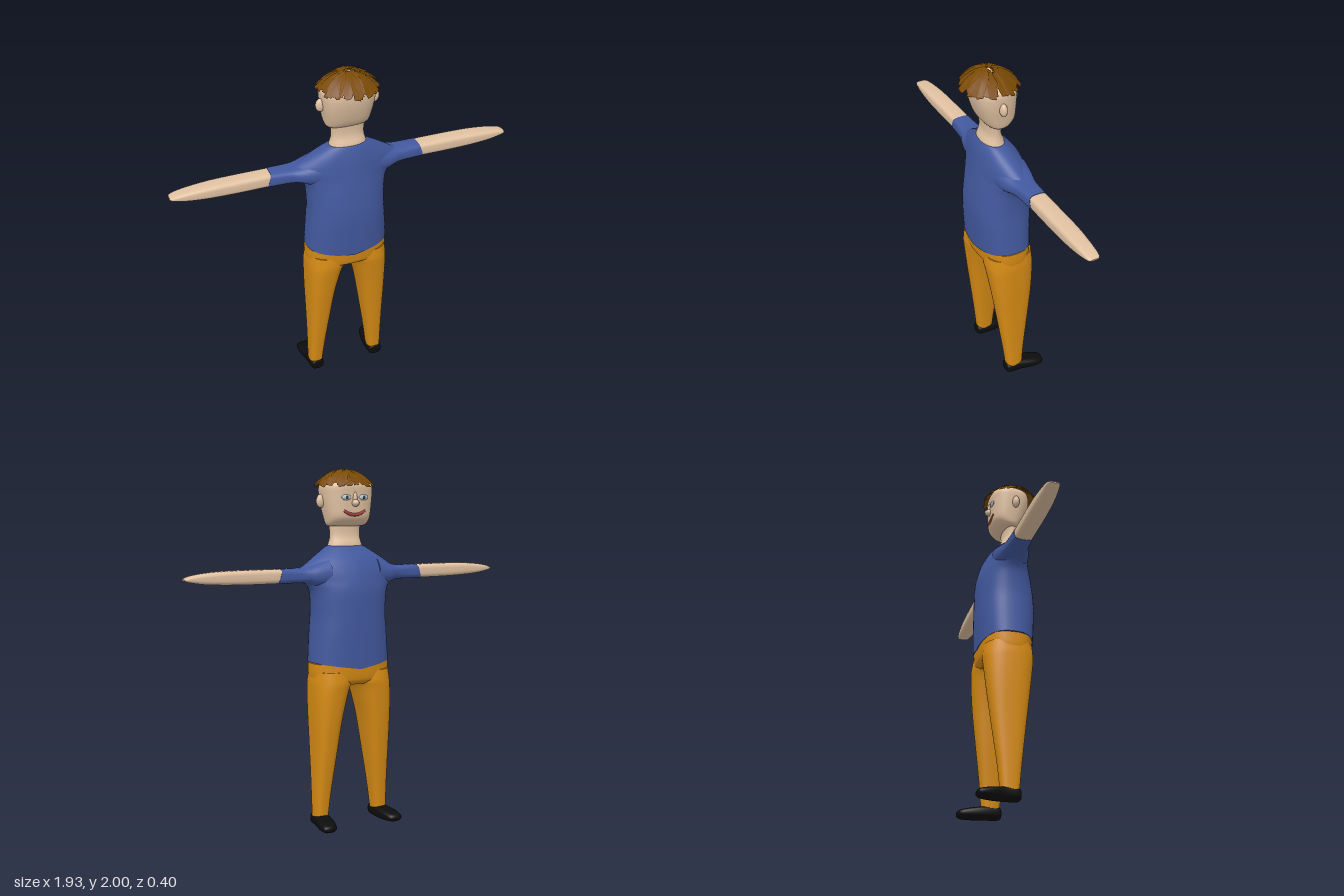
import * as THREE from 'three';

const mat = (color, side = THREE.FrontSide) => new THREE.MeshStandardMaterial({ color, side, roughness: 0.9 });
const SKIN = mat(0xe0c1a1), SHIRT = mat(0x43599f), TROUSERS = mat(0xd68b15), SHOE = mat(0x0d0d0d);
const HAIR = mat(0x7a4a05, THREE.DoubleSide), EYE = mat(0xb9cbd2), PUPIL = mat(0x2b3a44), LIP = mat(0xa8433f);

// Smooth Catmull-Rom refinement of a list of cross-sections
function refine(rows, steps) {
  const out = [];
  for (let i = 0; i < rows.length - 1; i++) {
    const p = [rows[Math.max(i - 1, 0)], rows[i], rows[i + 1], rows[Math.min(i + 2, rows.length - 1)]];
    for (let s = 0; s < steps; s++) {
      const t = s / steps;
      out.push(rows[i].map((_, k) => {
        const [a, b, c, d] = p.map((r) => r[k]);
        return b + 0.5 * t * (c - a + t * (2 * a - 5 * b + 4 * c - d + t * (3 * (b - c) + d - a)));
      }));
    }
  }
  out.push(rows[rows.length - 1]);
  return out;
}

// Loft rounded-box sections [t, a0, a1, b0, b1, n]; place(t, a, b) gives the point
function loft(sections, place, seg = 36, steps = 4) {
  const rows = refine(sections, steps), pos = [], idx = [];
  const sp = (v, n) => Math.sign(v) * Math.abs(v) ** (2 / n);
  const ring = ([t, a0, a1, b0, b1, n]) => {
    const start = pos.length / 3;
    for (let i = 0; i < seg; i++) {
      const q = (i / seg) * Math.PI * 2;
      pos.push(...place(t, (a0 + a1) / 2 + ((a1 - a0) / 2) * sp(Math.cos(q), n),
        (b0 + b1) / 2 + ((b1 - b0) / 2) * sp(Math.sin(q), n)));
    }
    return start;
  };
  const starts = rows.map(ring);
  for (let r = 0; r < rows.length - 1; r++) {
    for (let i = 0; i < seg; i++) {
      const j = (i + 1) % seg, a = starts[r], b = starts[r + 1];
      idx.push(a + i, a + j, b + j, a + i, b + j, b + i);
    }
  }
  // Flat end caps with their own vertices
  [rows[0], rows[rows.length - 1]].forEach((row, end) => {
    const s = ring(row), c = pos.length / 3;
    pos.push(...place(row[0], (row[1] + row[2]) / 2, (row[3] + row[4]) / 2));
    for (let i = 0; i < seg; i++) {
      const j = (i + 1) % seg;
      idx.push(...(end ? [c, s + i, s + j] : [c, s + j, s + i]));
    }
  });
  // Turn the faces outwards if the enclosed volume is negative
  let vol = 0;
  const v = (k) => new THREE.Vector3().fromArray(pos, idx[k] * 3);
  for (let k = 0; k < idx.length; k += 3) vol += v(k).dot(v(k + 1).cross(v(k + 2)));
  if (vol < 0) idx.reverse();
  const g = new THREE.BufferGeometry();
  g.setAttribute('position', new THREE.Float32BufferAttribute(pos, 3));
  g.setIndex(idx);
  g.computeVertexNormals();
  return g;
}

// Shaggy hair: curved tapering locks fanned out from the crown over a dome
function hairGeometry() {
  let seed = 7;
  const rnd = () => (seed = (seed * 16807) % 2147483647) / 2147483647;
  const pos = [], idx = [], count = 110, n = 5;
  for (let k = 0; k < count; k++) {
    const ang = k * 2.39996 + rnd() * 0.2, r0 = 0.05 + 0.35 * rnd(), r1 = 0.85 + 0.17 * rnd();
    const lift = rnd() * 0.012, half = 0.012 + 0.01 * rnd(), tilt = (rnd() - 0.5) * 0.6, bend = (rnd() - 0.5) * 0.3;
    const base = pos.length / 3;
    for (let i = 0; i <= n; i++) {
      const t = i / n, r = r0 + (r1 - r0) * t, a = ang + bend * t;
      const y = 1.988 - 0.085 * r ** 2.2 + lift * (1 - t * 0.5);
      for (const s of [-1, 1]) {
        const w = s * half * (0.45 + 0.55 * Math.sin(Math.PI * (0.15 + 0.6 * t)));
        pos.push(0.17 * r * Math.cos(a) - w * Math.sin(a), y + w * tilt,
          0.035 + 0.16 * r * Math.sin(a) + w * Math.cos(a));
      }
      if (i < n) {
        const q = base + i * 2;
        idx.push(q, q + 1, q + 3, q, q + 3, q + 2);
      }
    }
  }
  const g = new THREE.BufferGeometry();
  g.setAttribute('position', new THREE.Float32BufferAttribute(pos, 3));
  g.setIndex(idx);
  g.computeVertexNormals();
  return g;
}

export function createModel() {
  const model = new THREE.Group();
  const add = (name, geo, material) => {
    const m = new THREE.Mesh(geo, material);
    m.name = name;
    model.add(m);
    return m;
  };
  const blob = (name, material, p, s) => {
    const m = add(name, new THREE.SphereGeometry(1, 24, 16), material);
    m.position.set(...p);
    m.scale.set(...s);
  };
  const up = (y, x, z) => [x, y, z];

  // Shirt body, with a hem that dips at the middle
  add('shirt', loft([
    [0.94, -0.235, 0.235, -0.162, 0.142, 2.5], [1.1, -0.222, 0.222, -0.166, 0.154, 2.5],
    [1.2, -0.216, 0.216, -0.166, 0.154, 2.4], [1.3, -0.224, 0.224, -0.166, 0.144, 2.2],
    [1.35, -0.24, 0.24, -0.162, 0.137, 2], [1.39, -0.275, 0.275, -0.154, 0.132, 1.7],
    [1.43, -0.305, 0.305, -0.142, 0.126, 1.6], [1.46, -0.295, 0.295, -0.13, 0.122, 1.6],
    [1.5, -0.235, 0.235, -0.108, 0.115, 1.8], [1.54, -0.172, 0.172, -0.075, 0.106, 2],
    [1.575, -0.115, 0.115, -0.038, 0.094, 2.2], [1.582, -0.095, 0.095, -0.03, 0.088, 2.2],
  ], (y, x, z) => [x, y - 0.035 * Math.max(0, 1 - Math.abs(x) / 0.235) * Math.max(0, (1.04 - y) / 0.1), z], 48), SHIRT);

  // Hips
  add('hips', loft([
    [0.815, -0.2, 0.2, -0.125, 0.095, 2.4], [0.835, -0.225, 0.225, -0.148, 0.122, 2.5],
    [0.87, -0.234, 0.234, -0.156, 0.131, 2.5], [0.935, -0.234, 0.234, -0.16, 0.139, 2.5],
  ], up, 48), TROUSERS);

  for (const s of [1, -1]) {
    const side = s > 0 ? 'left' : 'right';
    const along = (x, y, z) => [s * x, y, z];

    // Trouser leg
    add(side + 'Leg', loft([
      [0.055, 0.15, 0.229, -0.075, 0.024, 2.8], [0.2, 0.134, 0.229, -0.088, 0.04, 2.8],
      [0.4, 0.107, 0.23, -0.113, 0.066, 2.8], [0.6, 0.077, 0.234, -0.137, 0.093, 2.7],
      [0.72, 0.049, 0.236, -0.148, 0.11, 2.6], [0.79, 0.027, 0.236, -0.153, 0.12, 2.5],
      [0.83, 0.006, 0.235, -0.155, 0.124, 2.4], [0.89, 0.002, 0.228, -0.148, 0.12, 2.4],
    ], (y, x, z) => [s * x, y, z]), TROUSERS);

    // Shoe, splayed slightly outwards
    add(side + 'Shoe', loft([
      [0.03, 0.165, 0.215, 0.012, 0.055, 2.5], [0.018, 0.15, 0.229, 0.003, 0.068, 2.8],
      [-0.06, 0.145, 0.238, 0, 0.07, 2.8], [-0.13, 0.152, 0.253, 0, 0.062, 2.6],
      [-0.18, 0.165, 0.255, 0.003, 0.052, 2.4], [-0.2, 0.18, 0.245, 0.01, 0.043, 2.2],
      [-0.207, 0.2, 0.225, 0.02, 0.032, 2],
    ], (z, x, y) => [s * x, y, z]), SHOE);

    // Sleeve, its cuff slanting out towards the bottom
    add(side + 'Sleeve', loft([
      [0.15, 1.335, 1.525, -0.115, 0.095, 2], [0.22, 1.355, 1.492, -0.105, 0.08, 2.2],
      [0.27, 1.378, 1.472, -0.09, 0.065, 2.5], [0.32, 1.385, 1.466, -0.078, 0.048, 3],
      [0.44, 1.385, 1.466, -0.07, 0.036, 3.5],
    ], (x, y, z) => along(x + (x > 0.38 ? (1.425 - y) * 0.3 : 0), y, z)), SHIRT);

    // Forearm and mitten-like hand
    add(side + 'Arm', loft([
      [0.4, 1.387, 1.464, -0.068, 0.034, 3.5], [0.6, 1.387, 1.465, -0.067, 0.036, 3.5],
      [0.75, 1.391, 1.463, -0.064, 0.036, 3.5], [0.86, 1.398, 1.455, -0.058, 0.031, 3.3],
      [0.93, 1.409, 1.444, -0.052, 0.024, 3], [0.957, 1.416, 1.435, -0.046, 0.018, 2.8],
      [0.967, 1.421, 1.429, -0.036, 0.008, 2.5],
    ], along), SKIN);

    // Ear and eye
    blob(side + 'Ear', SKIN, [s * 0.149, 1.825, 0.03], [0.027, 0.037, 0.02]);
    blob(side + 'Eye', EYE, [s * 0.053, 1.845, -0.088], [0.029, 0.016, 0.01]);
    blob(side + 'Pupil', PUPIL, [s * 0.053, 1.845, -0.096], [0.009, 0.01, 0.004]);
  }

  // Neck
  add('neck', loft([
    [1.56, -0.112, 0.112, -0.035, 0.09, 2.2], [1.59, -0.1, 0.1, -0.032, 0.087, 2.2],
    [1.64, -0.091, 0.091, -0.014, 0.07, 2.2], [1.72, -0.1, 0.1, -0.012, 0.075, 2.2],
  ], up), SKIN);

  // Head
  add('head', loft([
    [1.688, -0.105, 0.105, -0.02, 0.062, 2.5], [1.7, -0.12, 0.12, -0.05, 0.078, 2.6],
    [1.735, -0.129, 0.129, -0.084, 0.1, 2.7], [1.8, -0.14, 0.14, -0.09, 0.122, 2.7],
    [1.86, -0.147, 0.147, -0.092, 0.134, 2.7], [1.905, -0.147, 0.147, -0.094, 0.134, 2.6],
    [1.935, -0.124, 0.124, -0.084, 0.125, 2.4], [1.96, -0.085, 0.085, -0.055, 0.095, 2.2],
    [1.974, -0.035, 0.035, -0.01, 0.05, 2],
  ], up, 40), SKIN);

  // Nose and smiling lips
  blob('nose', SKIN, [0, 1.815, -0.094], [0.02, 0.02, 0.026]);
  blob('noseBridge', SKIN, [0, 1.84, -0.088], [0.013, 0.035, 0.016]);
  const smile = new THREE.CatmullRomCurve3([[-0.065, 1.773, -0.08], [-0.035, 1.757, -0.086], [0, 1.751, -0.088],
    [0.035, 1.757, -0.086], [0.065, 1.773, -0.08]].map((p) => new THREE.Vector3(...p)));
  add('lips', new THREE.TubeGeometry(smile, 24, 0.009, 8), LIP);

  add('hair', hairGeometry(), HAIR);
  return model;
}
